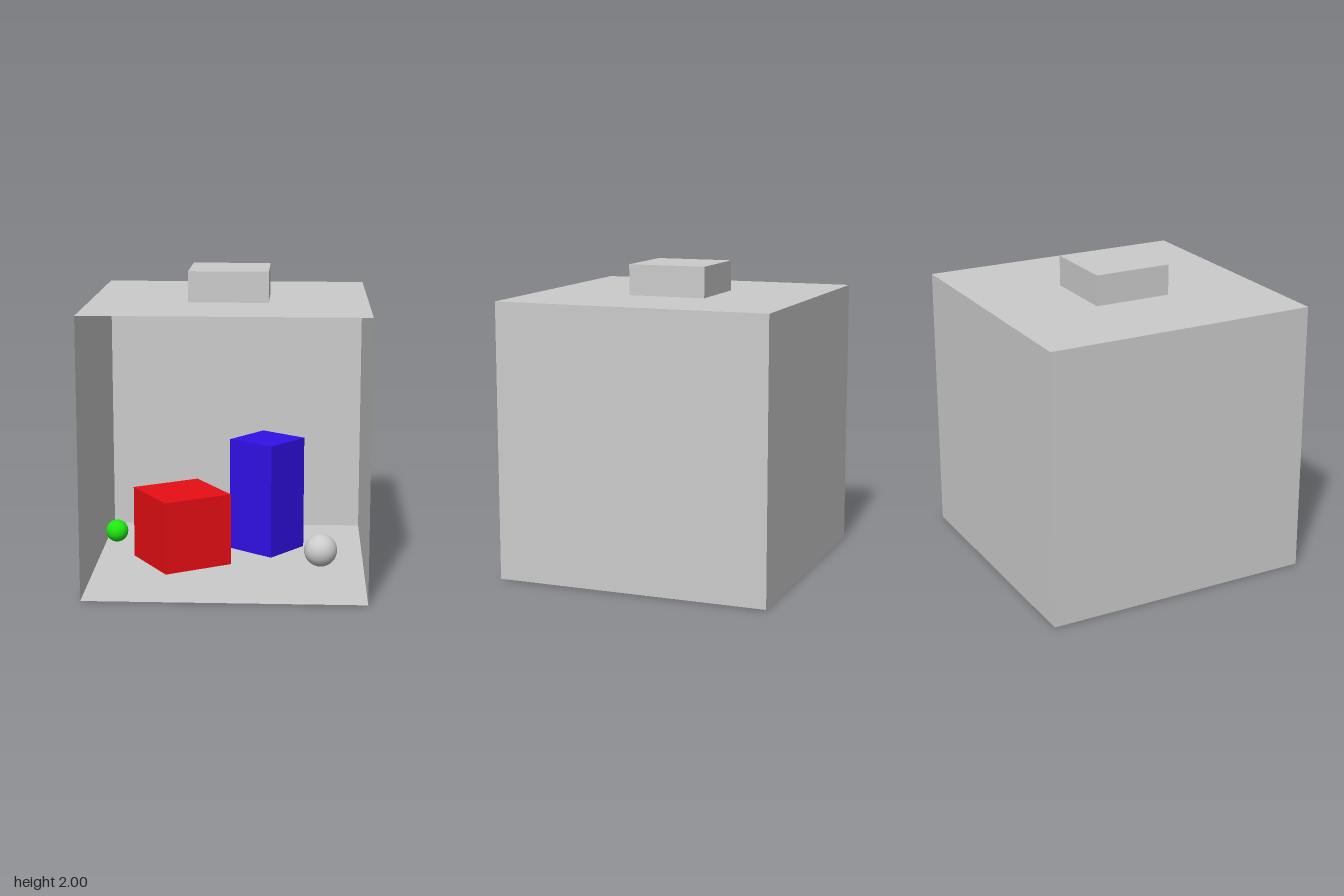
import * as THREE from 'three';

const HALF = 0.897;   // half width of the room
const FLOOR = 0.005;
const CEILING = 1.8;

function createMaterial(color = 0xcccccc, side = THREE.FrontSide) {
  return new THREE.MeshStandardMaterial({ color, side });
}

export function createModel() {
  const model = new THREE.Group();
  model.name = 'openRoom';

  function add(name, geometry, material, [x, y, z], parent = model) {
    const mesh = new THREE.Mesh(geometry, material);
    mesh.name = name;
    mesh.position.set(x, y, z);
    parent.add(mesh);
    return mesh;
  }

  // Room shell: five thin sheets, open towards the front
  const room = new THREE.Group();
  room.name = 'room';
  model.add(room);
  const wallMaterial = createMaterial(0xcccccc, THREE.DoubleSide);
  const height = CEILING - FLOOR;
  const midY = (CEILING + FLOOR) / 2;
  const wall = new THREE.PlaneGeometry(2 * HALF, height);
  const slab = new THREE.PlaneGeometry(2 * HALF, 2 * HALF);

  add('backWall', wall, wallMaterial, [0, midY, -HALF], room);
  for (const side of [-1, 1]) {
    const name = side > 0 ? 'leftWall' : 'rightWall';
    add(name, wall, wallMaterial, [side * HALF, midY, 0], room).rotation.y = side * Math.PI / 2;
  }
  add('floor', slab, wallMaterial, [0, FLOOR, 0], room).rotation.x = -Math.PI / 2;
  add('ceiling', slab, wallMaterial, [0, CEILING, 0], room).rotation.x = -Math.PI / 2;

  // Lamp housing on the roof
  add('lampBox', new THREE.BoxGeometry(0.516, 0.2, 0.516), createMaterial(), [0, 1.9, 0]);

  // Turned blocks; the red one reaches just through the floor
  const redBlock = add('redBlock', new THREE.BoxGeometry(0.488, 0.49, 0.488),
    createMaterial(0xe70e14), [-0.327, 0.245, 0.005]);
  redBlock.rotation.y = THREE.MathUtils.degToRad(31);

  const blueBlock = add('blueBlock', new THREE.BoxGeometry(0.363, 0.778, 0.363),
    createMaterial(0x3010e7), [0.24, 0.395, -0.32]);
  blueBlock.rotation.y = THREE.MathUtils.degToRad(-37.5);

  // Balls: one floating, one resting on the floor
  add('greenBall', new THREE.SphereGeometry(0.073, 32, 16), createMaterial(0x20e712), [-0.733, 0.289, 0.29]);
  add('greyBall', new THREE.SphereGeometry(0.111, 32, 16), createMaterial(), [0.609, 0.116, 0.1]);

  return model;
}
